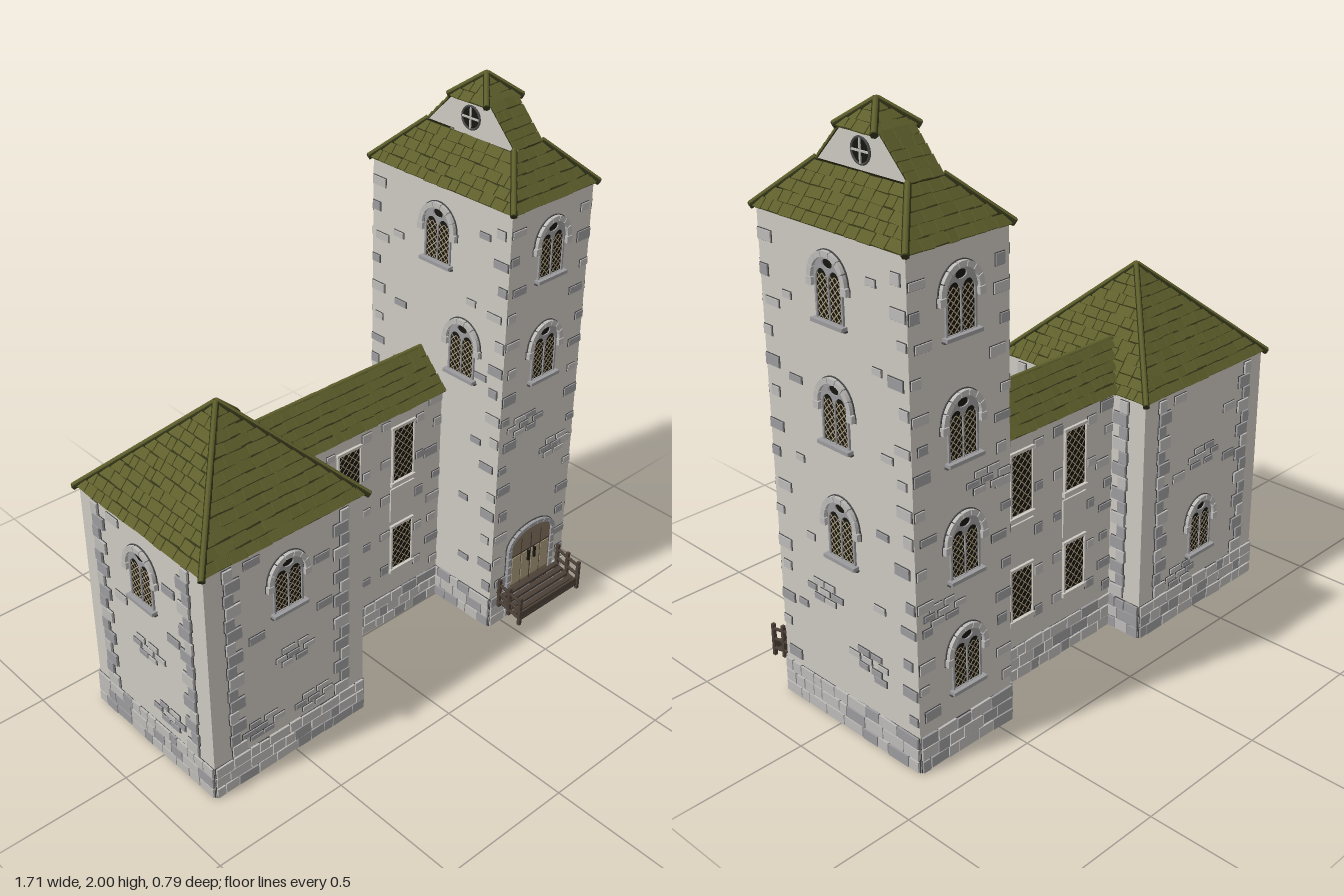
import * as THREE from 'three';
import { mergeGeometries } from 'three/addons/utils/BufferGeometryUtils.js';

const mat = (name, color, side = THREE.FrontSide) => {
  const m = new THREE.MeshStandardMaterial({ color, side });
  m.name = name;
  return m;
};
const V = (x, y, z) => new THREE.Vector3(x, y, z);

export function createModel() {
  const M = {
    wall: mat('plaster wall', 0xcdc9c2, THREE.DoubleSide),
    light: mat('light stone', 0xbdbbb8),
    grey: mat('grey stone', 0x9b9b9e),
    joint: mat('dark joint', 0x4a4a4b),
    tile: mat('moss tile', 0x5f602c),
    under: mat('roof shadow olive', 0x313318, THREE.DoubleSide),
    glass: mat('window dark', 0x17160f, THREE.DoubleSide),
    lattice: mat('lattice tan', 0xa8987a),
    wood: mat('dark wood', 0x4b4037),
    door: mat('door wood', 0x7f705c, THREE.DoubleSide),
  };
  let seed = 7;
  const rnd = (a = 0, b = 1) => {
    seed = (seed * 16807) % 2147483647;
    return a + (b - a) * (seed / 2147483647);
  };
  const root = new THREE.Group();
  root.name = 'stoneManor';

  // A part gathers pieces per material and becomes one group of merged meshes
  const part = (name) => {
    const bins = {};
    return {
      add(key, geo, matrix) {
        if (matrix) geo.applyMatrix4(matrix);
        (bins[key] ||= []).push(geo.index ? geo.toNonIndexed() : geo);
      },
      finish() {
        const g = new THREE.Group();
        g.name = name;
        for (const key in bins) {
          const mesh = new THREE.Mesh(mergeGeometries(bins[key]), M[key]);
          mesh.name = `${name} ${M[key].name}`;
          g.add(mesh);
        }
        root.add(g);
      },
    };
  };
  // Face frame: x along the wall, y up, z outward
  const frame = (x, z, turn) => new THREE.Matrix4().makeRotationY(turn).setPosition(x, 0, z);
  const box = (p, key, f, x, y, z, w, h, d, rot = 0) =>
    p.add(key, new THREE.BoxGeometry(w, h, d).rotateZ(rot).translate(x, y, z), f);
  const plate = (p, key, f, shape, z, depth) => p.add(key, depth
    ? new THREE.ExtrudeGeometry(shape, { depth, bevelEnabled: false, curveSegments: 10 }).translate(0, 0, z)
    : new THREE.ShapeGeometry(shape, 10).translate(0, 0, z), f);
  const beam = (p, key, a, b, r) => {
    const d = b.clone().sub(a);
    const q = new THREE.Quaternion().setFromUnitVectors(V(0, 1, 0), d.clone().normalize());
    p.add(key, new THREE.CylinderGeometry(r, r, d.length(), 6),
      new THREE.Matrix4().compose(a.clone().add(b).multiplyScalar(0.5), q, V(1, 1, 1)));
  };

  // Raised block on a thin dark outline
  const stone = (p, f, x, y, w, h, key = rnd() < 0.5 ? 'grey' : 'light', d = 0.005) => {
    box(p, 'joint', f, x, y, 0.002, w + 0.005, h + 0.005, 0.002);
    box(p, key, f, x, y, 0.002 + d / 2, w, h, d);
  };
  // Patch of exposed masonry in staggered courses
  const patch = (p, f, cx, cy) => {
    for (let k = 0; k < 3; k++) for (let i = 0; i < 2 + (k % 2); i++)
      stone(p, f, cx + (i - 0.5 - 0.5 * (k % 2)) * 0.06 + rnd(-0.008, 0.008), cy + (k - 1) * 0.027, rnd(0.038, 0.052), rnd(0.016, 0.02));
  };
  const edgeStones = (p, f, half, y0, y1) => {
    for (const s of [-1, 1]) for (let y = y0, i = s > 0 ? 1 : 0; y < y1; y += 0.1, i++) {
      const w = i % 2 ? 0.035 : 0.06;
      stone(p, f, s * (half - w / 2 - (i % 3 ? 0.004 : 0.022)), y + rnd(-0.015, 0.015), w, rnd(0.022, 0.036));
    }
  };
  const plinth = (p, f, half, gap = () => false) => {
    box(p, 'joint', f, 0, 0.063, 0.002, half * 2, 0.126, 0.002);
    [[0.021, 0.04], [0.064, 0.042], [0.107, 0.04]].forEach(([y, h]) => {
      for (let x = -half; x < half - 0.002;) {
        let w = rnd(0.035, 0.095);
        if (half - x - w < 0.03) w = half - x;
        if (!gap(x + w / 2, y)) box(p, rnd() < 0.35 ? 'grey' : 'light', f, x + w / 2, y + rnd(-0.002, 0.002), 0.006, w - rnd(0.002, 0.006), h - rnd(0, 0.005), 0.008, rnd(-0.03, 0.03));
        x += w;
      }
    });
  };

  // Crossed diagonal bars clipped to a rectangle
  const lattice = (p, f, cx, cy, w, h, step, z) => {
    for (const s of [-1, 1]) for (let c = -h; c < w; c += step) {
      const a = Math.max(0, c), b = Math.min(w, c + h);
      if (b - a < 0.008) continue;
      const mx = (a + b) / 2, my = mx - c;
      box(p, 'lattice', f, cx + s * (mx - w / 2), cy + my - h / 2, z, (b - a) * 1.414, 0.0032, 0.001, s * Math.PI / 4);
    }
  };
  const archShape = (w, spring, rise, y = 0, x = 0, Kind = THREE.Shape) => {
    const s = new Kind();
    s.moveTo(x - w, y);
    s.lineTo(x + w, y);
    s.lineTo(x + w, y + spring);
    s.absellipse(x, y + spring, w, rise, 0, Math.PI, false);
    s.lineTo(x - w, y);
    return s;
  };
  const voussoirs = (p, f, y, rx, ry, t, n, d, colour) => {
    for (let i = 0; i < n; i++) for (const [key, gap, depth] of [['joint', 0, 0.004], [colour, 0.04, d]]) {
      const a = Math.PI * (i + gap) / n, b = Math.PI * (i + 1 - gap) / n, g = gap ? 0.003 : 0;
      const s = new THREE.Shape();
      s.absellipse(0, y, rx + t - g, ry + t - g, a, b, false);
      s.absellipse(0, y, rx + g, ry + g, b, a, true);
      plate(p, key, f, s, 0.001, depth);
    }
  };
  const archedWindow = (p, face, y, x = 0) => {
    const f = face.clone().multiply(new THREE.Matrix4().makeTranslation(x, y, 0));
    plate(p, 'glass', f, archShape(0.055, 0.145, 0.062, 0.012), 0.003);
    const rim = archShape(0.06, 0.135, 0.067, 0.01);
    for (const s of [-1, 1]) rim.holes.push(archShape(0.0255, 0.115, 0.037, 0.016, s * 0.0275, THREE.Path));
    const eye = new THREE.Path();
    eye.absellipse(0, 0.187, 0.022, 0.014, 0, Math.PI * 2);
    rim.holes.push(eye);
    plate(p, 'grey', f, rim, 0.001, 0.007);
    for (const s of [-1, 1]) lattice(p, f, s * 0.0275, 0.085, 0.048, 0.134, 0.023, 0.0045);
    voussoirs(p, f, 0.135, 0.062, 0.07, 0.024, 7, 0.016, 'light');
    for (const s of [-1, 1]) stone(p, f, s * 0.075, 0.122, 0.024, 0.024, 'light', 0.015);
    box(p, 'grey', f, 0, 0.009, 0.012, 0.14, 0.012, 0.022);
    box(p, 'joint', f, 0, 0.002, 0.008, 0.146, 0.005, 0.012);
  };

  // Tiled slope: a, b along the eave (seen from outside), c, d along the top
  const slope = (p, a, b, c, d) => {
    const tri = [a, b, c, a, c, d].flatMap((v) => v.toArray());
    const g = new THREE.BufferGeometry();
    g.setAttribute('position', new THREE.Float32BufferAttribute(tri, 3));
    g.setAttribute('uv', new THREE.Float32BufferAttribute(new Array(12).fill(0), 2));
    g.computeVertexNormals();
    p.add('under', g);
    const ux = b.clone().sub(a).normalize();
    const rise = d.clone().sub(a);
    const uy = rise.clone().addScaledVector(ux, -rise.dot(ux));
    const len = uy.length();
    uy.normalize();
    const m = new THREE.Matrix4().makeBasis(ux, uy, ux.clone().cross(uy)).setPosition(a);
    const wB = b.distanceTo(a), l = rise.dot(ux), r = c.clone().sub(a).dot(ux);
    const rows = Math.max(2, Math.round(len / 0.037)), h = len / rows;
    for (let i = 0; i < rows; i++) {
      const t = (i + 0.35) / rows, x1 = wB + (r - wB) * t;
      for (let x = l * t; x < x1 - 0.003;) {
        let w = rnd(0.03, 0.066);
        if (x1 - x - w < 0.02) w = x1 - x;
        const tile = new THREE.BoxGeometry(Math.max(w - 0.0038, 0.004), h * rnd(0.88, 0.95), 0.007);
        tile.rotateX(0.04 + rnd(0, 0.08)).rotateZ(rnd(-0.05, 0.05)).translate(x + w / 2, (i + 0.45) * h + rnd(-0.002, 0.002), 0.005);
        p.add('tile', tile, m);
        x += w;
      }
    }
  };
  // Hipped roof between two rectangles of half sizes [x, z]
  const hip = (p, cx, cz, y0, [ax, az], y1, [bx, bz]) => {
    const ring = (y, x, z) => [[-x, z], [x, z], [x, -z], [-x, -z]].map(([u, w]) => V(cx + u, y, cz + w));
    const lo = ring(y0, ax, az), hi = ring(y1, bx, bz);
    for (let i = 0; i < 4; i++) {
      const j = (i + 1) % 4;
      slope(p, lo[i], lo[j], hi[j], hi[i]);
      const foot = lo[i].clone().lerp(hi[i], -0.02);
      for (const [key, r, up] of [['under', 0.012, 0.004], ['tile', 0.009, 0.01]])
        beam(p, key, foot.clone().setY(foot.y + up), hi[i].clone().setY(hi[i].y + up), r);
    }
  };

  const CZ = -0.05, H = 0.32;
  const facesOf = (cx, hx, hz) => [
    [frame(cx, CZ + hz, 0), hx], [frame(cx + hx, CZ, Math.PI / 2), hz],
    [frame(cx, CZ - hz, Math.PI), hx], [frame(cx - hx, CZ, -Math.PI / 2), hz]];
  const wall = (p, f, half, h) => p.add('wall', new THREE.PlaneGeometry(half * 2, h).translate(0, h / 2, 0), f);

  // West house
  const house = part('westHouse');
  const houseWin = [[0.605], [], [0.215], [0.605]];
  const housePatches = [[[0.02, 0.42], [-0.12, 0.19], [0.1, 0.18]], [], [[0, 0.6], [-0.1, 0.17]], [[0, 0.42], [0.1, 0.2]]];
  facesOf(-0.515, H, H).forEach(([f, half], i) => {
    wall(house, f, half, 0.9);
    plinth(house, f, half);
    houseWin[i].forEach((y) => archedWindow(house, f, y));
    for (const s of [-1, 1]) for (let y = 0.155, k = 0; y < 0.89; y += 0.047, k++)
      stone(house, f, s * (0.225 + (k % 2 ? 0.01 : -0.006)), y, k % 2 ? 0.034 : 0.056, 0.042, k % 3 ? 'grey' : 'light', 0.008);
    housePatches[i].forEach(([x, y]) => patch(house, f, x, y));
    for (const [x, y] of [[-0.14, 0.86], [0.15, 0.55], [-0.13, 0.56], [0.14, 0.74]]) stone(house, f, x, y, 0.06, 0.028);
  });
  house.finish();
  const houseRoof = part('westRoof');
  hip(houseRoof, -0.515, CZ, 0.895, [0.328, 0.328], 1.217, [0.002, 0.002]);
  houseRoof.finish();

  // Linking wing
  const wing = part('linkWing');
  for (const [f, s] of [[frame(0.1225, -0.01, 0), 1], [frame(0.1225, -0.23, Math.PI), -1]]) {
    wall(wing, f, 0.3175, 0.91);
    plinth(wing, f, 0.3175);
    const cols = [-0.1275 * s, 0.1275 * s];
    for (const x of cols) {
      box(wing, 'wall', f, x, 0.515, 0.004, 0.115, 0.14, 0.006);
      for (const [y, h] of [[0.325, 0.18], [0.725, 0.215]]) {
        box(wing, 'glass', f, x, y, 0.0025, 0.096, h, 0.003);
        lattice(wing, f, x, y, 0.094, h, 0.03, 0.005);
        for (const e of [-1, 1]) box(wing, 'wall', f, x + e * 0.051, y, 0.006, 0.007, h, 0.01);
        box(wing, 'wall', f, x, y - h / 2 - 0.012, 0.007, 0.116, 0.016, 0.012);
        box(wing, 'wall', f, x, y + h / 2 + 0.006, 0.006, 0.112, 0.01, 0.01);
      }
    }
    edgeStones(wing, f, 0.3175, 0.17, 0.88);
    for (const x of cols) for (const e of [-1, 1]) for (let y = 0.2 + rnd(0, 0.05); y < 0.88; y += 0.155)
      stone(wing, f, x + e * 0.082, y, rnd(0.03, 0.042), rnd(0.025, 0.036));
  }
  wing.finish();
  const wingRoof = part('linkRoof');
  slope(wingRoof, V(-0.19, 0.9, 0.01), V(0.44, 0.9, 0.01), V(0.44, 1.028, -0.12), V(-0.315, 1.028, -0.12));
  slope(wingRoof, V(0.44, 0.9, -0.25), V(-0.19, 0.9, -0.25), V(-0.315, 1.028, -0.12), V(0.44, 1.028, -0.12));
  beam(wingRoof, 'tile', V(-0.31, 1.028, -0.12), V(0.44, 1.028, -0.12), 0.009);
  wingRoof.finish();

  // Tower
  const tower = part('tower'), TX = 0.635;
  const towerWin = [[[1.375], [0.99]], [[1.375], [0.99], [0.605]], [[1.375], [0.99], [0.605], [0.22]], [[1.375], [0.99, 0.13]]];
  const towerPatches = [[[-0.07, 0.84], [0.1, 0.68]], [[-0.1, 0.46], [0.1, 0.3]], [[0.1, 0.9], [-0.09, 0.53]], [[-0.15, 0.9]]];
  facesOf(TX, 0.195, H).forEach(([f, half], i) => {
    wall(tower, f, half, 1.67);
    plinth(tower, f, half, (x, y) => i === 0 && Math.abs(x) < 0.15 && y > 0.1);
    towerWin[i].forEach(([y, x]) => archedWindow(tower, f, y, x));
    edgeStones(tower, f, half, 0.18, 1.64);
    towerPatches[i].forEach(([x, y]) => patch(tower, f, x, y));
    if (i % 2) for (let y = 0.25, s = 1; y < 1.62; y += 0.13, s = -s) stone(tower, f, s * rnd(0.15, 0.23), y, rnd(0.035, 0.055), 0.02);
  });
  tower.finish();

  // Tower roof: hip, steep saddle with gable ends, small cap
  const roof = part('towerRoof');
  hip(roof, TX, CZ, 1.66, [0.204, 0.331], 1.797, [0.066, 0.195]);
  for (const s of [-1, 1]) {
    slope(roof, V(TX - s * 0.066, 1.8, CZ + s * 0.195), V(TX + s * 0.066, 1.8, CZ + s * 0.195),
      V(TX + s * 0.066, 1.925, CZ + s * 0.075), V(TX - s * 0.066, 1.925, CZ + s * 0.075));
    const f = frame(TX + s * 0.06, CZ, s * Math.PI / 2);
    const gable = new THREE.Shape([[-0.195, 1.8], [0.195, 1.8], [0.075, 1.925], [-0.075, 1.925]].map(([x, y]) => new THREE.Vector2(x, y)));
    plate(roof, 'wall', f, gable, 0);
    roof.add('glass', new THREE.CircleGeometry(0.038, 20).translate(0, 1.858, 0.004), f);
    roof.add('joint', new THREE.TorusGeometry(0.039, 0.004, 6, 20).translate(0, 1.858, 0.004), f);
    box(roof, 'light', f, 0, 1.858, 0.006, 0.074, 0.006, 0.005);
    box(roof, 'light', f, 0, 1.858, 0.006, 0.006, 0.074, 0.005);
  }
  hip(roof, TX, CZ, 1.916, [0.085, 0.085], 1.985, [0.002, 0.002]);
  roof.finish();

  // Arched double door with paler lower panels
  const door = part('door');
  const df = frame(TX + 0.003, CZ + H, 0);
  plate(door, 'door', df, archShape(0.105, 0.185, 0.055, 0.125), 0.006, 0.004);
  for (const s of [-1, 1]) {
    for (const x of [0.027, 0.076]) box(door, 'lattice', df, s * x, 0.205, 0.011, 0.043, 0.12, 0.004);
    box(door, 'wood', df, s * 0.052, 0.235, 0.01, 0.003, 0.2, 0.004);
    box(door, 'glass', df, s * 0.016, 0.245, 0.016, 0.007, 0.045, 0.01);
    for (let k = 0; k < 5; k++) stone(door, df, s * 0.115, 0.148 + k * 0.036, 0.018, 0.031, 'grey', 0.014);
  }
  box(door, 'wood', df, 0, 0.235, 0.01, 0.004, 0.21, 0.004);
  box(door, 'wood', df, 0, 0.272, 0.011, 0.2, 0.006, 0.004);
  voussoirs(door, df, 0.31, 0.105, 0.055, 0.022, 9, 0.016, 'grey');
  door.finish();

  // Wooden steps with railings
  const porch = part('porchSteps');
  for (let i = 0; i < 5; i++) box(porch, 'wood', null, TX, 0.122 - i * 0.01, 0.288 + i * 0.023, 0.31, 0.01, 0.02);
  box(porch, 'wood', null, TX, 0.095, 0.385, 0.32, 0.03, 0.008);
  for (const x of [0.475, 0.795]) {
    for (const [z, y] of [[0.285, 0.2], [0.335, 0.19], [0.388, 0.175]]) box(porch, 'wood', null, x, y - 0.055, z, 0.012, 0.12, 0.012);
    for (const y of [0.11, 0.145, 0.185]) beam(porch, 'wood', V(x, y, 0.275), V(x, y - 0.025, 0.395), 0.006);
  }
  porch.finish();
  return root;
}
